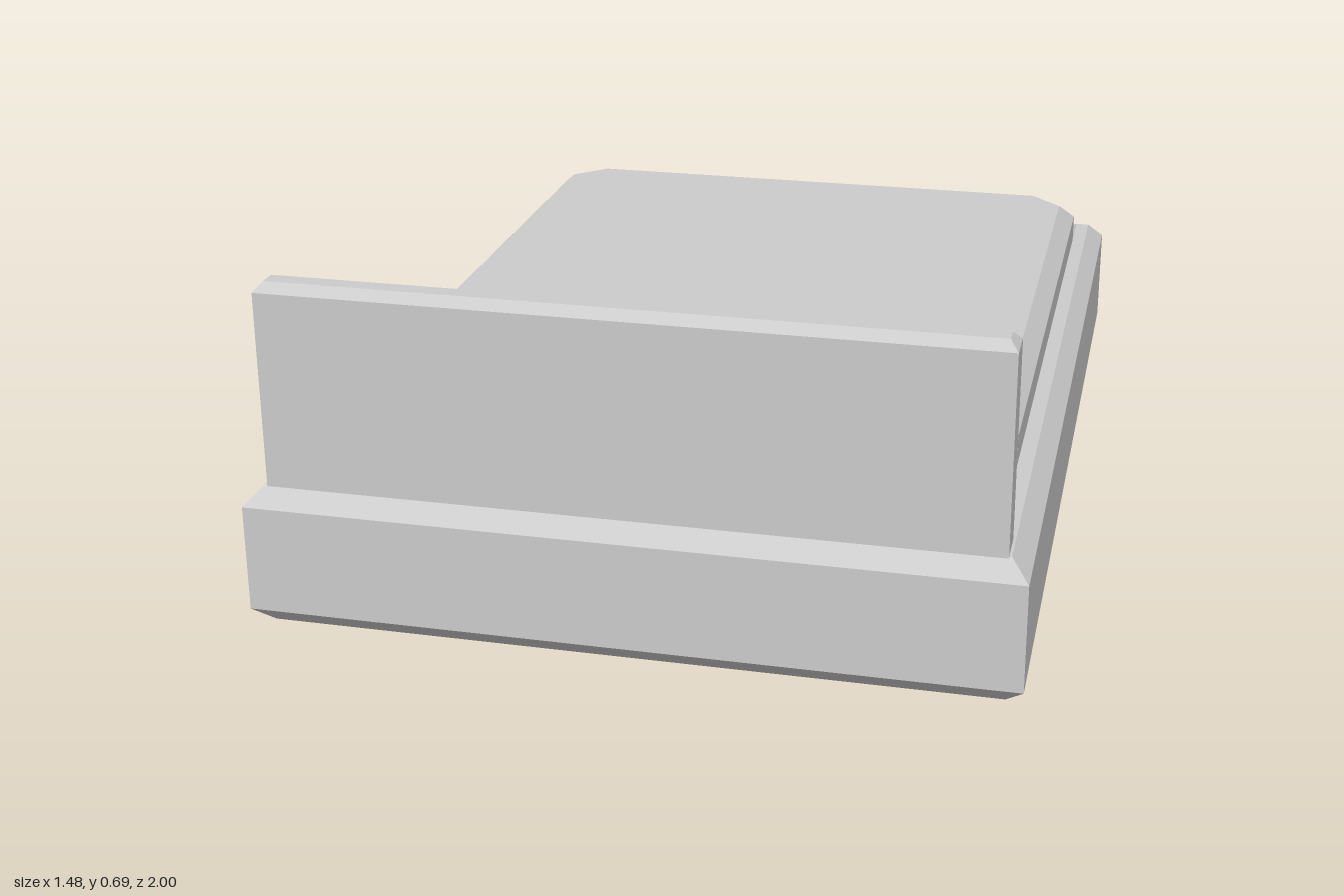
import * as THREE from 'three';
import { mergeVertices } from 'three/addons/utils/BufferGeometryUtils.js';

const material = new THREE.MeshStandardMaterial({ color: 0xcccccc });
const flatMaterial = new THREE.MeshStandardMaterial({ color: 0xcccccc, flatShading: true });

// Rectangular outline at height y; corners at the back (z0) and front (z1) may be cut off.
function ring(y, x, z0, z1, cutBack = 0, cutFront = 0) {
  const points = [];
  const add = (px, pz) => points.push([px, y, pz]);
  const corner = (sx, z, sz, c, alongXFirst) => {
    if (!c) return add(sx * x, z);
    const a = [sx * (x - c), z], b = [sx * x, z - sz * c];
    for (const p of alongXFirst ? [a, b] : [b, a]) add(...p);
  };
  corner(1, z1, 1, cutFront, true);
  corner(1, z0, -1, cutBack, false);
  corner(-1, z0, -1, cutBack, true);
  corner(-1, z1, 1, cutFront, false);
  return points;
}

// Joins outlines from bottom to top and caps both ends.
function stack(name, rings) {
  const pos = [];
  const tri = (...corners) => corners.forEach((p) => pos.push(...p));
  const n = rings[0].length;
  for (let r = 0; r < rings.length - 1; r++) {
    for (let i = 0; i < n; i++) {
      const j = (i + 1) % n;
      tri(rings[r][i], rings[r][j], rings[r + 1][j]);
      tri(rings[r][i], rings[r + 1][j], rings[r + 1][i]);
    }
  }
  const bottom = rings[0], top = rings[rings.length - 1];
  for (let i = 1; i < n - 1; i++) {
    tri(bottom[0], bottom[i + 1], bottom[i]);
    tri(top[0], top[i], top[i + 1]);
  }
  const geometry = new THREE.BufferGeometry();
  geometry.setAttribute('position', new THREE.Float32BufferAttribute(pos, 3));
  geometry.computeVertexNormals();
  const mesh = new THREE.Mesh(geometry, flatMaterial);
  mesh.name = name;
  return mesh;
}

// Soft block: a cube rounded by a power norm, pinched in the middle and gently rippled.
function pillow(name, x, z, wave, yaw) {
  let geometry = new THREE.BoxGeometry(2, 2, 2, 16, 8, 12);
  geometry.deleteAttribute('normal');
  geometry.deleteAttribute('uv');
  geometry = mergeVertices(geometry);
  const p = geometry.attributes.position;
  const v = new THREE.Vector3();
  for (let i = 0; i < p.count; i++) {
    v.fromBufferAttribute(p, i);
    const norm = (Math.abs(v.x) ** 5 + Math.abs(v.y) ** 5 + Math.abs(v.z) ** 5) ** 0.2;
    v.divideScalar(norm);
    const pinch = 1 - 0.08 * Math.cos(v.x * 2.6 + wave);
    const ripple = 0.012 * Math.sin(v.x * 3 + wave) * v.z;
    p.setXYZ(i, v.x * 0.215 * (1 - 0.04 * Math.cos(v.z * 2.5)),
      v.y * 0.066 * (0.96 + 0.1 * v.z * v.z) + ripple, v.z * 0.134 * pinch);
  }
  geometry.computeVertexNormals();
  const mesh = new THREE.Mesh(geometry, material);
  mesh.name = name;
  mesh.rotation.set(-0.54, yaw, 0);
  mesh.position.set(x, 0.455, z);
  return mesh;
}

export function createModel() {
  const bed = new THREE.Group();
  bed.name = 'bed';

  // Bevelled frame with a recess for the mattress
  bed.add(stack('frame', [
    ring(0, 0.705, -0.965, 0.965),
    ring(0.036, 0.74, -1, 1),
    ring(0.25, 0.74, -1, 1),
    ring(0.287, 0.705, -0.965, 0.965),
    ring(0.287, 0.675, -0.96, 0.885),
    ring(0.2, 0.675, -0.96, 0.885),
  ]));

  // Headboard with a bevelled top edge
  bed.add(stack('headboard', [
    ring(0.28, 0.7, 0.895, 0.968),
    ring(0.672, 0.7, 0.895, 0.968),
    ring(0.69, 0.684, 0.914, 0.949),
  ]));

  // Mattress with cut corners
  bed.add(stack('mattress', [
    ring(0.2, 0.658, -0.94, 0.873, 0.07, 0.07),
    ring(0.322, 0.658, -0.94, 0.873, 0.07, 0.07),
    ring(0.352, 0.63, -0.91, 0.845, 0.07, 0.07),
  ]));

  // Blanket laid over the mattress, cut at the foot corners only
  bed.add(stack('blanket', [
    ring(0.22, 0.672, -0.956, 0.54, 0.072),
    ring(0.332, 0.672, -0.956, 0.54, 0.072),
    ring(0.368, 0.636, -0.922, 0.515, 0.072),
  ]));

  // Pillows leaning towards the headboard
  bed.add(pillow('rightPillow', -0.32, 0.72, 0.3, 0.02));
  bed.add(pillow('leftPillow', 0.23, 0.715, -0.4, -0.03));
  return bed;
}
